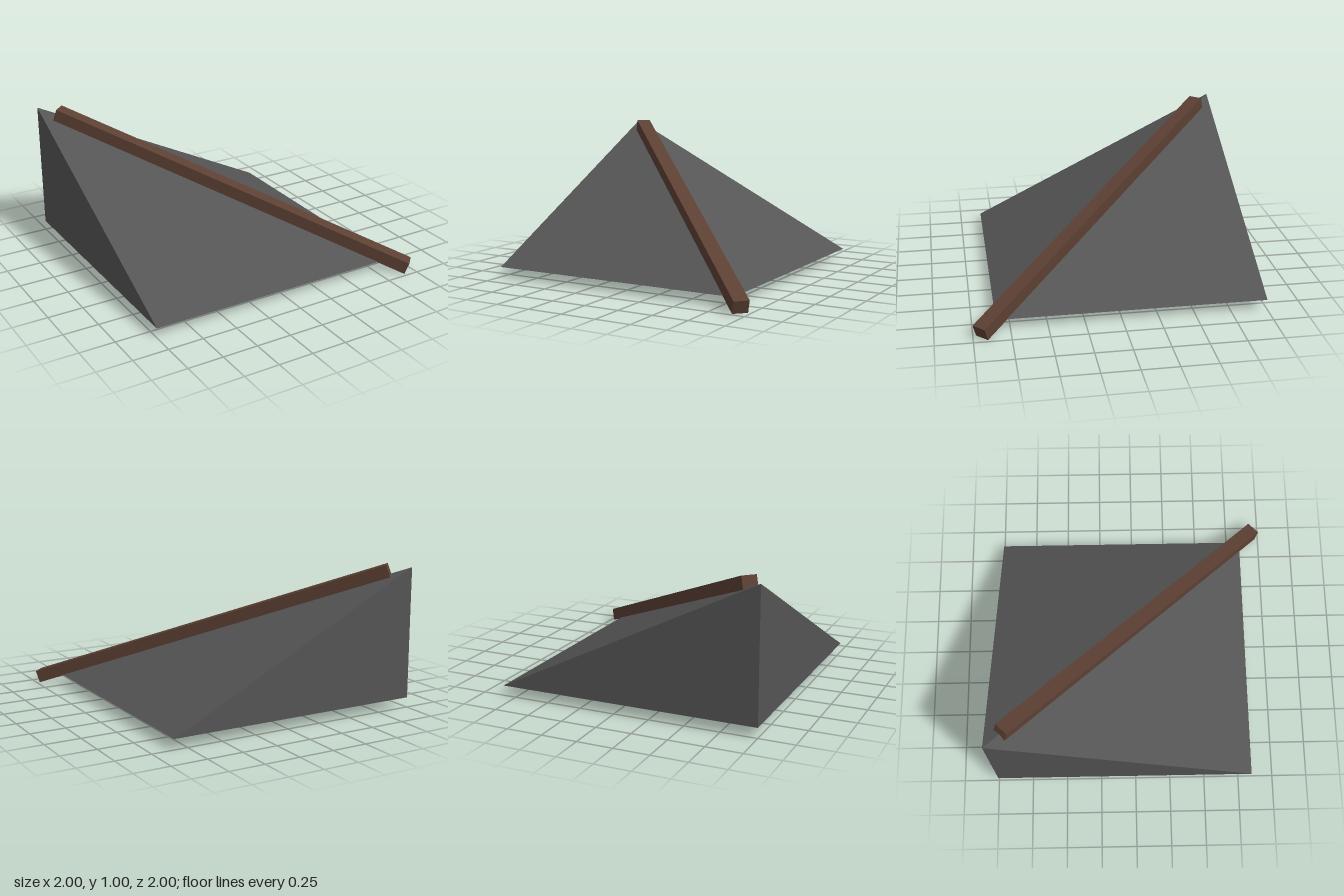
import * as THREE from 'three';
import { ConvexGeometry } from 'three/addons/geometries/ConvexGeometry.js';

export function createModel() {
  const model = new THREE.Group();
  model.name = 'roofCorner';

  const slate = new THREE.MeshStandardMaterial({ color: 0x555555 });
  slate.name = 'slate grey';
  const wood = new THREE.MeshStandardMaterial({ color: 0x5c4033 });
  wood.name = 'dark wood';

  // Roof corner: square base with the peak above its back right corner
  const low = -1, high = 0.845, base = 0.07, peak = 0.99;
  const roof = new THREE.Mesh(new ConvexGeometry([
    new THREE.Vector3(low, base, low),
    new THREE.Vector3(high, base, low),
    new THREE.Vector3(high, base, high),
    new THREE.Vector3(low, base, high),
    new THREE.Vector3(low, peak, low),
  ]), slate);
  roof.name = 'roofCornerSlopes';
  model.add(roof);

  // Hip beam: square timber lying along the diagonal ridge
  const top = new THREE.Vector3(-0.89, 0.962, -0.89);
  const foot = new THREE.Vector3(0.952, 0.042, 0.952);
  const along = foot.clone().sub(top);
  const length = along.length();
  along.normalize();
  const across = new THREE.Vector3(1, 0, -1).normalize();
  const up = along.clone().cross(across);

  const beam = new THREE.Mesh(new THREE.BoxGeometry(0.104, 0.09, length), wood);
  beam.name = 'hipBeam';
  beam.quaternion.setFromRotationMatrix(new THREE.Matrix4().makeBasis(across, up, along));
  beam.position.copy(top).add(foot).multiplyScalar(0.5);
  model.add(beam);

  return model;
}
